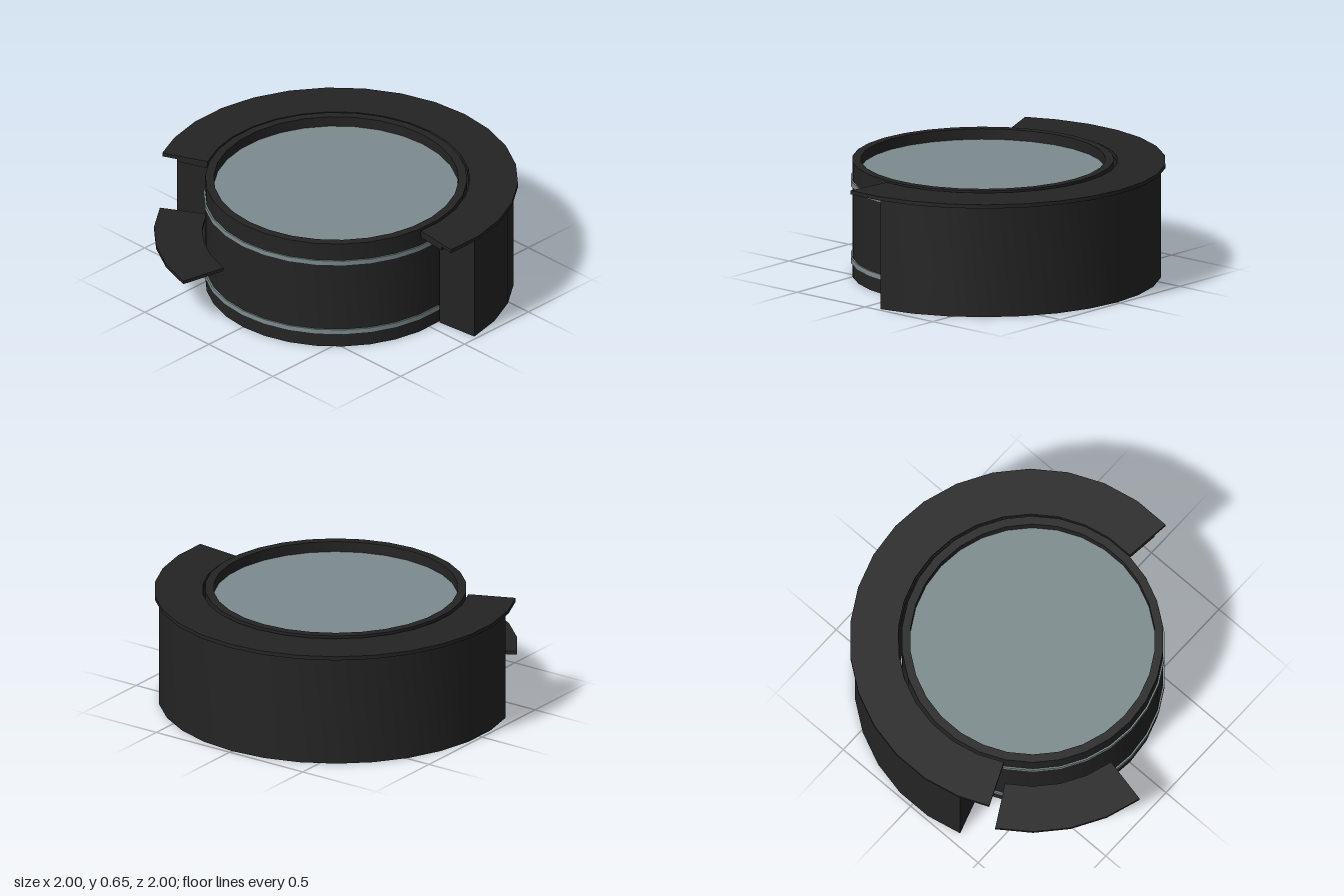
import * as THREE from 'three';
import { toCreasedNormals } from 'three/addons/utils/BufferGeometryUtils.js';

const DEG = Math.PI / 180;
const STEP = 12; // all round parts are 30-sided

export function createModel() {
  const group = new THREE.Group();
  const black = new THREE.MeshStandardMaterial({ color: 0x242424 });
  black.name = 'matte black';
  const grey = new THREE.MeshStandardMaterial({ color: 0x7d8b8e });
  grey.name = 'blue grey';
  const greyOpen = new THREE.Vector2(0.004, 0.007); // drum centre (x, z)

  function add(name, geometry, material, x = 0, y = 0, z = 0) {
    const mesh = new THREE.Mesh(toCreasedNormals(geometry, 0.5), material);
    mesh.name = name;
    mesh.position.set(x, y, z);
    group.add(mesh);
  }

  // Curved slab between two radii; angles run from +x towards +z.
  // trim pulls the far outer corner back by some degrees.
  function arcSlab(inner, outer, from, to, y0, y1, trim = 0) {
    const at = (r, a) => new THREE.Vector2(r * Math.cos(a * DEG), r * Math.sin(a * DEG));
    const n = Math.round((to - from) / STEP);
    const points = [];
    for (let i = 0; i <= n; i++) points.push(at(outer, from + i * STEP + (i === 0 ? trim : 0)));
    for (let i = n; i >= 0; i--) points.push(at(inner, from + i * STEP));
    const g = new THREE.ExtrudeGeometry(new THREE.Shape(points), { depth: y1 - y0, bevelEnabled: false });
    g.rotateX(Math.PI / 2);
    g.translate(0, y1, 0);
    return g;
  }

  const lathe = (pairs, segments = 30, start = 0, length = Math.PI * 2) =>
    new THREE.LatheGeometry(pairs.map(([r, y]) => new THREE.Vector2(r, y)), segments, start, length);

  // Central drum with a raised rim around a sunken top
  add('drum', lathe([[0, 0], [0.725, 0], [0.725, 0.655], [0.678, 0.655], [0.678, 0.58]]),
    black, greyOpen.x, 0, greyOpen.y);
  const disc = new THREE.CircleGeometry(0.68, 30, Math.PI / 2);
  disc.rotateX(-Math.PI / 2);
  add('drumTop', disc, grey, greyOpen.x, 0.595, greyOpen.y);

  // Trim bands on the exposed front of the drum
  for (const y of [0.08, 0.52]) {
    add('trimBand', lathe([[0.72, y], [0.734, y], [0.734, y + 0.03], [0.72, y + 0.03]],
      17, -108 * DEG, 204 * DEG), grey, greyOpen.x, 0, greyOpen.y);
  }

  // Counter wrapped around the back
  add('counterBody', arcSlab(0.738, 0.985, -198, -6, 0, 0.625), black, 0, 0, 0.006);
  add('counterTop', arcSlab(0.738, 1.005, -210, 6, 0.625, 0.647, 1.6), black, 0, 0, 0);
  add('counterTopSupport', arcSlab(0.742, 0.92, -210, 6, 0.605, 0.626, 1.6), black);

  // Low shelf at the front
  add('lowShelf', arcSlab(0.738, 1.005, 102, 150, 0.295, 0.315), black, 0, 0, 0.008);

  return group;
}
